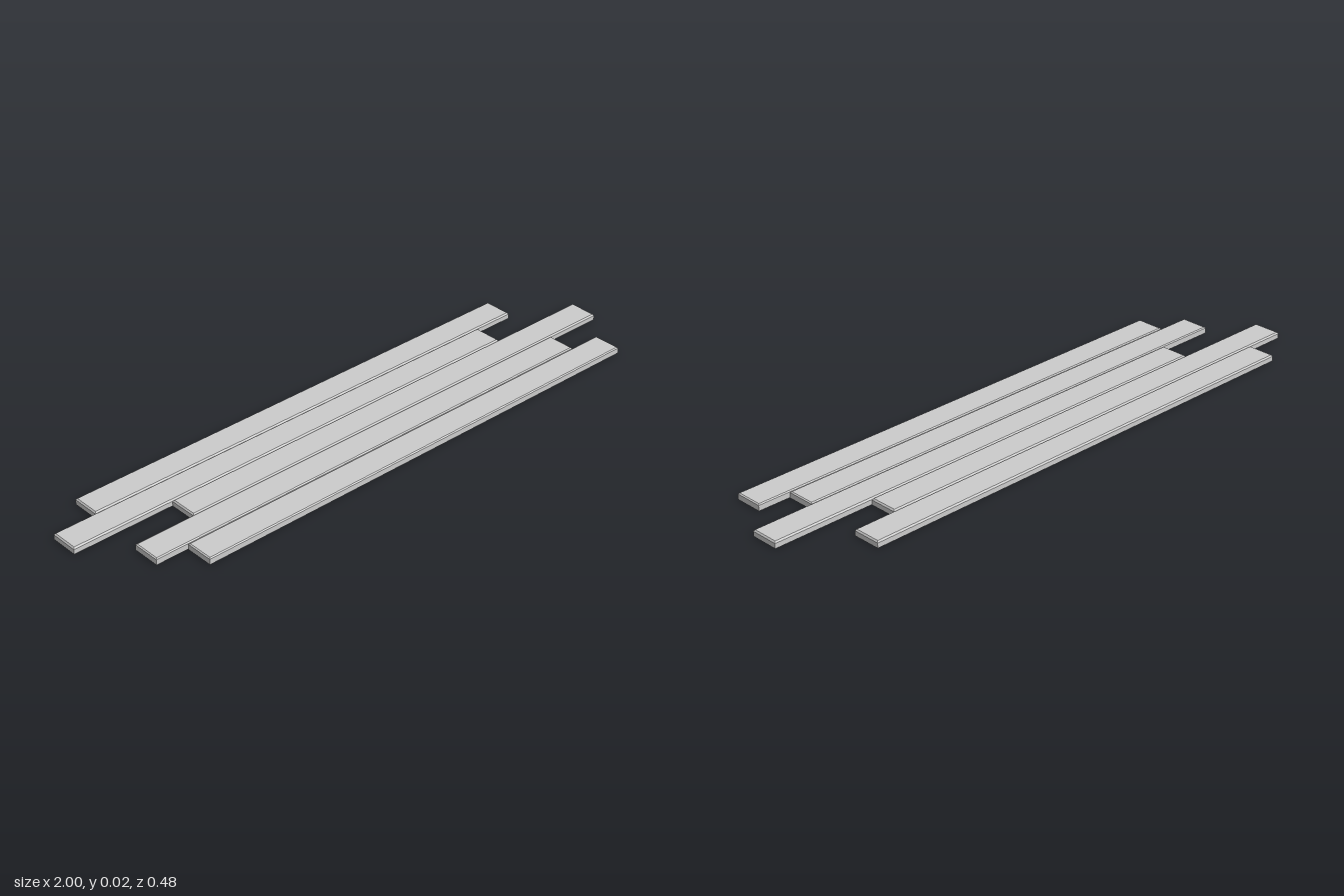
import * as THREE from 'three';

const LENGTH = 1.657, WIDTH = 0.094, HEIGHT = 0.021, INSET = 0.004;

// Board with a chamfer running round its top edge
function plankGeometry(bevel) {
  const box = new THREE.BoxGeometry(LENGTH, 2, WIDTH, 1, 2, 1);
  const p = box.attributes.position;
  for (let i = 0; i < p.count; i++) {
    const row = Math.round(p.getY(i)); // -1 bottom, 0 chamfer start, 1 top
    p.setY(i, [0, HEIGHT - bevel, HEIGHT][row + 1]);
    if (row === 1) {
      p.setX(i, p.getX(i) - Math.sign(p.getX(i)) * INSET);
      p.setZ(i, p.getZ(i) - Math.sign(p.getZ(i)) * INSET);
    }
  }
  const geometry = box.toNonIndexed();
  geometry.computeVertexNormals();
  return geometry;
}

export function createModel() {
  const group = new THREE.Group();
  group.name = 'plankFloor';
  const material = new THREE.MeshStandardMaterial({ color: 0xcccccc, flatShading: true });

  // Staggered planks, back to front: centre x, centre z, chamfer height
  const planks = [
    [-0.027, -0.191, 0.005],
    [-0.1715, -0.0947, 0.005],
    [0.1715, 0.001, 0.005],
    [-0.034, 0.0965, 0.003],
    [0.075, 0.193, 0.003],
  ];
  planks.forEach(([x, z, bevel], i) => {
    const plank = new THREE.Mesh(plankGeometry(bevel), material);
    plank.name = `plank${i + 1}`;
    plank.position.set(x, 0, z - 0.001);
    group.add(plank);
  });
  return group;
}
